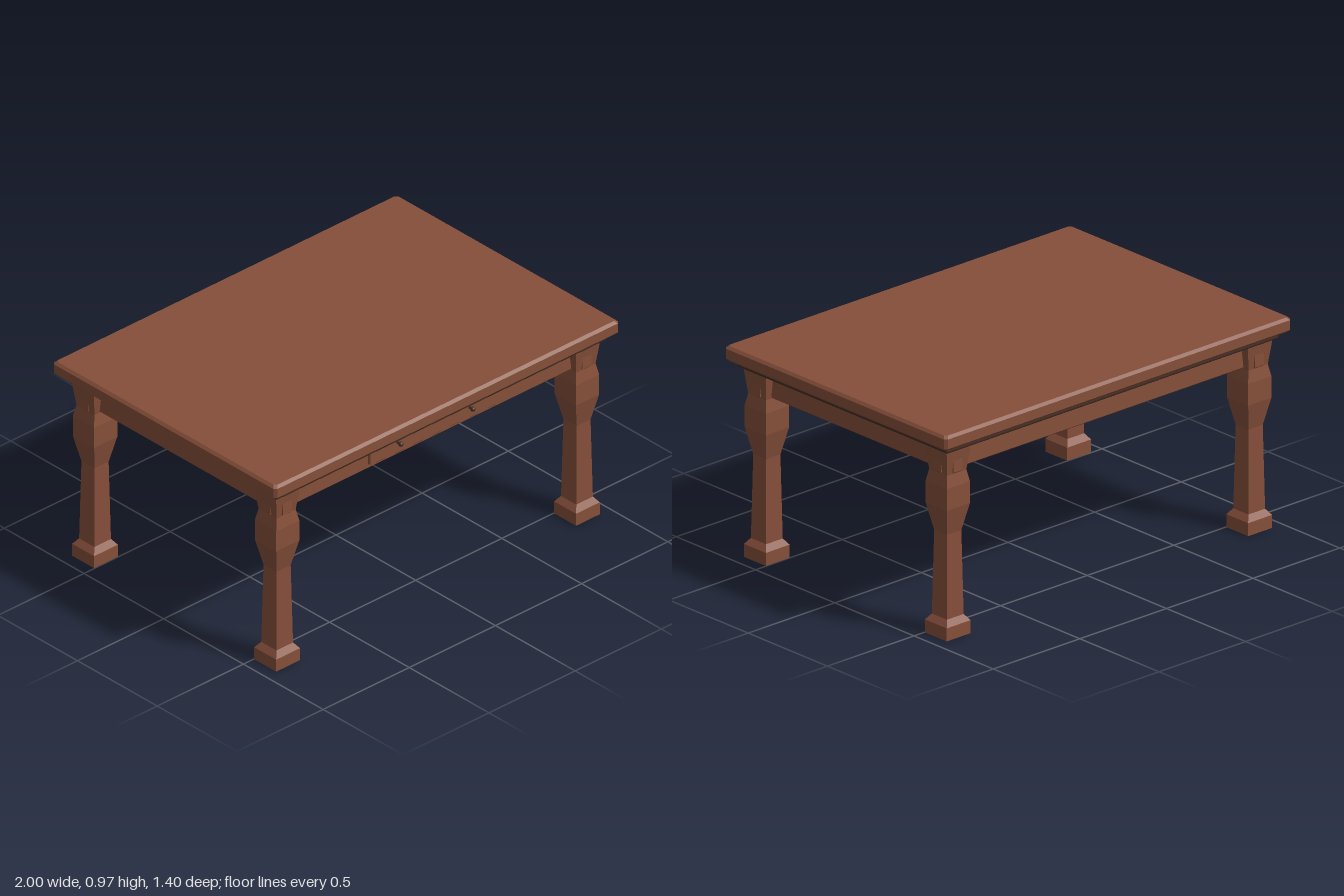
import * as THREE from 'three';

// Stack of rectangular sections [y, halfX, halfZ], with corners cut by `cut`, capped at both ends
function loft(levels, cut = 0) {
  const ring = ([y, a, b]) => (cut
    ? [[a, b - cut], [a - cut, b], [cut - a, b], [-a, b - cut], [-a, cut - b], [cut - a, -b], [a - cut, -b], [a, cut - b]]
    : [[a, b], [-a, b], [-a, -b], [a, -b]]).map(([x, z]) => [x, y, z]);
  const rings = levels.map(ring), n = rings[0].length, pos = [];
  const tri = (...points) => points.forEach((p) => pos.push(...p));
  for (let i = 0; i < rings.length - 1; i++) {
    for (let j = 0; j < n; j++) {
      const k = (j + 1) % n, lo = rings[i], hi = rings[i + 1];
      tri(lo[j], hi[k], lo[k]);
      tri(lo[j], hi[j], hi[k]);
    }
  }
  const bottom = rings[0], top = rings[rings.length - 1];
  for (let j = 1; j < n - 1; j++) {
    tri(bottom[0], bottom[j], bottom[j + 1]);
    tri(top[0], top[j + 1], top[j]);
  }
  const geometry = new THREE.BufferGeometry();
  geometry.setAttribute('position', new THREE.Float32BufferAttribute(pos, 3));
  geometry.computeVertexNormals();
  return geometry;
}

// Block with chamfered top and bottom edges, and corners cut by `cut`
const block = (y0, y1, a, b, c, cut = 0) => loft([
  [y0, a - c, b - c], [y0 + c, a, b], [y1 - c, a, b], [y1, a - c, b - c],
], cut);

export function createModel() {
  const table = new THREE.Group();
  table.name = 'table';
  const wood = new THREE.MeshStandardMaterial({ color: 0x864f3a });
  wood.name = 'brown wood';
  const darkWood = new THREE.MeshStandardMaterial({ color: 0x432e24 });
  darkWood.name = 'dark wood';

  const add = (name, geometry, material, x = 0, y = 0, z = 0) => {
    const mesh = new THREE.Mesh(geometry, material);
    mesh.name = name;
    mesh.position.set(x, y, z);
    table.add(mesh);
    return mesh;
  };

  // Table top and the dark rounded moulding beneath it
  add('tableTop', block(0.905, 0.974, 1, 0.7, 0.012, 0.012), wood);
  const moulding = [
    [0.873, -0.014], [0.875, -0.006], [0.88, -0.001], [0.886, 0], [0.892, -0.001],
    [0.896, -0.006], [0.898, -0.012], [0.906, -0.012],
  ];
  add('moulding', loft(moulding.map(([y, d]) => [y, 0.96 + d, 0.665 + d]), 0.006), darkWood);

  // Four shaped legs
  const legX = 0.87, legZ = 0.571;
  const legProfile = [
    [0, 0.069], [0.06, 0.069], [0.088, 0.048], [0.475, 0.041],
    [0.6, 0.067], [0.7, 0.067], [0.755, 0.056], [0.875, 0.071],
  ];
  const leg = loft(legProfile.map(([y, r]) => [y, r, r]));
  for (const sx of [-1, 1]) {
    for (const sz of [-1, 1]) add('leg', leg, wood, sx * legX, 0, sz * legZ);
  }

  // Apron rails, whose ends show through the necks of the legs
  const longRail = block(0.757, 0.88, 0.933, 0.026, 0.005);
  const shortRail = block(0.757, 0.88, 0.026, 0.635, 0.005);
  for (const s of [-1, 1]) {
    add('longApron', longRail, wood, 0, 0, s * legZ);
    add('sideApron', shortRail, wood, s * legX, 0, 0);
  }

  // Drawer front with two dark round knobs
  add('drawerFront', block(0.777, 0.876, 0.367, 0.012, 0.004, 0.004), wood, 0, 0, 0.6);
  for (const s of [-1, 1]) {
    add('drawerKnob', new THREE.SphereGeometry(0.011, 16, 12), darkWood, s * 0.209, 0.83, 0.633);
    const stem = add('knobStem', new THREE.CylinderGeometry(0.006, 0.006, 0.025, 12), darkWood, s * 0.209, 0.83, 0.62);
    stem.rotation.x = Math.PI / 2;
  }
  return table;
}
